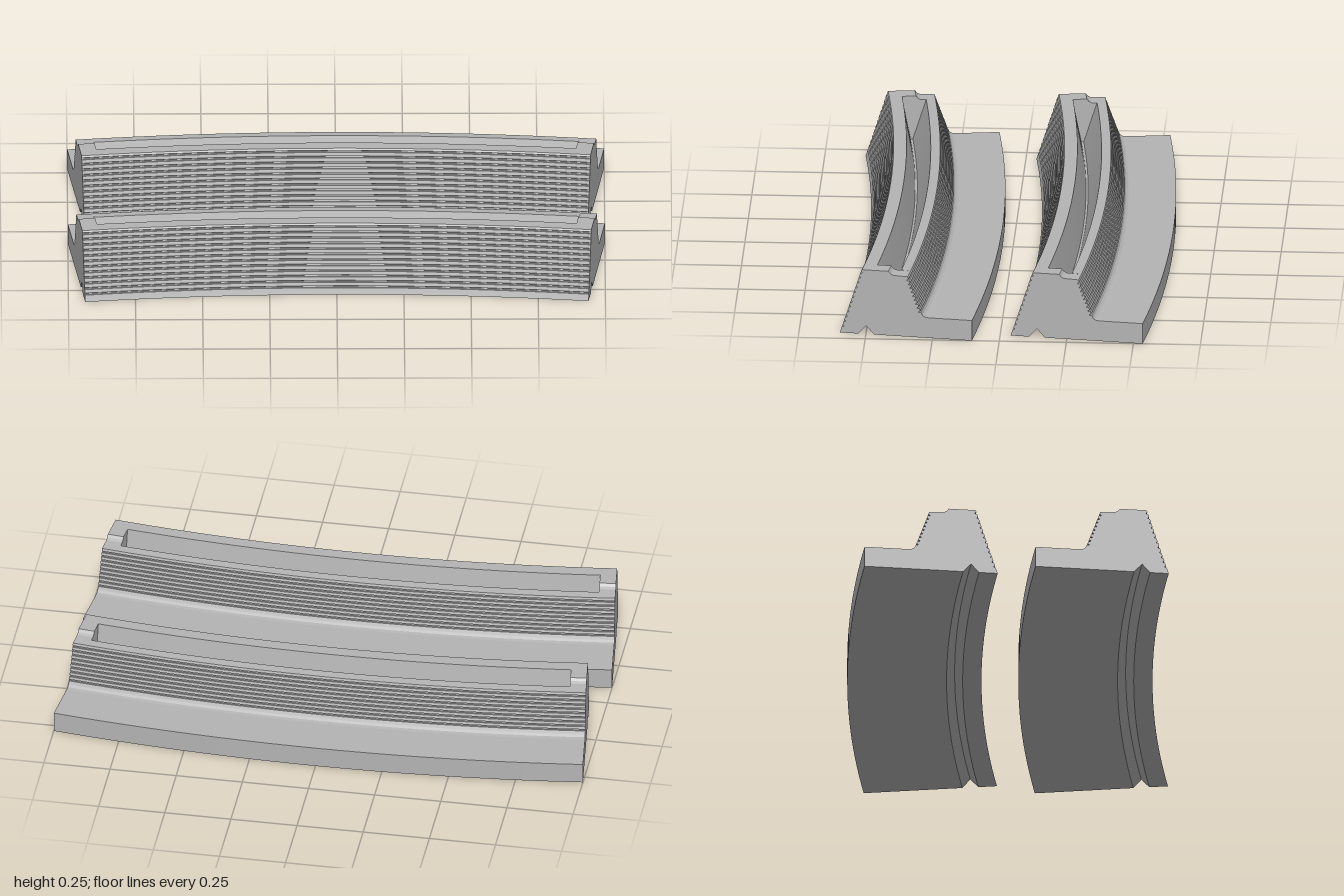
import * as THREE from 'three';

const R = 7.97;          // radius of the outer (back) edge
const END = 0.1258;      // half angle of a unit
const SLOT = 0.1178;     // half angle of the trench

// Point on the arc: d = distance inward from the back edge
const place = ([d, y], a) => [(R - d) * Math.sin(a), y, R - (R - d) * Math.cos(a)];

// Grooved line from p to q; grooves are cut to the left of its direction
function ribbed(p, q, count, depth) {
  const dx = q[0] - p[0], dy = q[1] - p[1], len = Math.hypot(dx, dy);
  const nx = -dy / len * depth, ny = dx / len * depth;
  const at = (t, cut) => [p[0] + dx * t + nx * cut, p[1] + dy * t + ny * cut];
  const pts = [];
  for (let i = 0; i < count; i++) {
    pts.push(at(i / count, 0), at((i + 0.62) / count, 0),
      at((i + 0.7) / count, 1), at((i + 0.9) / count, 1));
  }
  pts.push(q);
  return pts;
}

// Cross-section, counter-clockwise, with or without the open trench in the top
function section(trench) {
  const top = trench
    ? [[0.368, 0.255], [0.336, 0.085], [0.328, 0.085], [0.278, 0.24]]
    : [[0.316, 0.255], [0.308, 0.245], [0.298, 0.24]];
  return [
    [0, 0], [0.37, 0], [0.4, 0.033], [0.43, 0], [0.5, 0],      // base and drain notch
    ...ribbed([0.496, 0.012], [0.42, 0.248], 12, 0.006),       // front face
    [0.416, 0.255], ...top,
    ...ribbed([0.243, 0.238], [0.193, 0.1], 9, 0.008),         // back face
    [0.187, 0.088], [0.178, 0.082], [0.165, 0.08], [0, 0.08],  // fillet and ledge
  ];
}

// Sweep a cross-section along the arc
function sweep(profile, a0, a1, steps, caps) {
  const pos = [];
  const tri = (...pts) => pts.forEach((p) => pos.push(...p));
  for (let i = 0; i < steps; i++) {
    const u = a0 + (a1 - a0) * i / steps, v = a0 + (a1 - a0) * (i + 1) / steps;
    profile.forEach((p, j) => {
      const q = profile[(j + 1) % profile.length];
      tri(place(p, u), place(p, v), place(q, u));
      tri(place(q, u), place(p, v), place(q, v));
    });
  }
  if (caps) {
    const flat = profile.map((p) => new THREE.Vector2(...p));
    for (const [i, j, k] of THREE.ShapeUtils.triangulateShape(flat, [])) {
      const [p, q, r] = [profile[i], profile[j], profile[k]];
      tri(place(p, a0), place(q, a0), place(r, a0));
      tri(place(p, a1), place(r, a1), place(q, a1));
    }
  }
  const geo = new THREE.BufferGeometry();
  geo.setAttribute('position', new THREE.Float32BufferAttribute(pos, 3));
  geo.computeVertexNormals();
  return geo;
}

export function createModel() {
  const model = new THREE.Group();
  model.name = 'curvedKerbPair';
  const concrete = new THREE.MeshStandardMaterial({ color: 0xb4b4b4 });
  concrete.name = 'concrete grey';

  const parts = [
    ['troughBody', sweep(section(true), -SLOT, SLOT, 48, false)],
    ['rightEndBlock', sweep(section(false), -END, -SLOT, 2, true)],
    ['leftEndBlock', sweep(section(false), SLOT, END, 2, true)],
  ];

  // Two identical units, one behind the other
  for (const [name, z] of [['backUnit', -0.598], ['frontUnit', 0.039]]) {
    const unit = new THREE.Group();
    unit.name = name;
    unit.position.z = z;
    for (const [partName, geo] of parts) {
      const mesh = new THREE.Mesh(geo, concrete);
      mesh.name = partName;
      unit.add(mesh);
    }
    model.add(unit);
  }
  return model;
}
